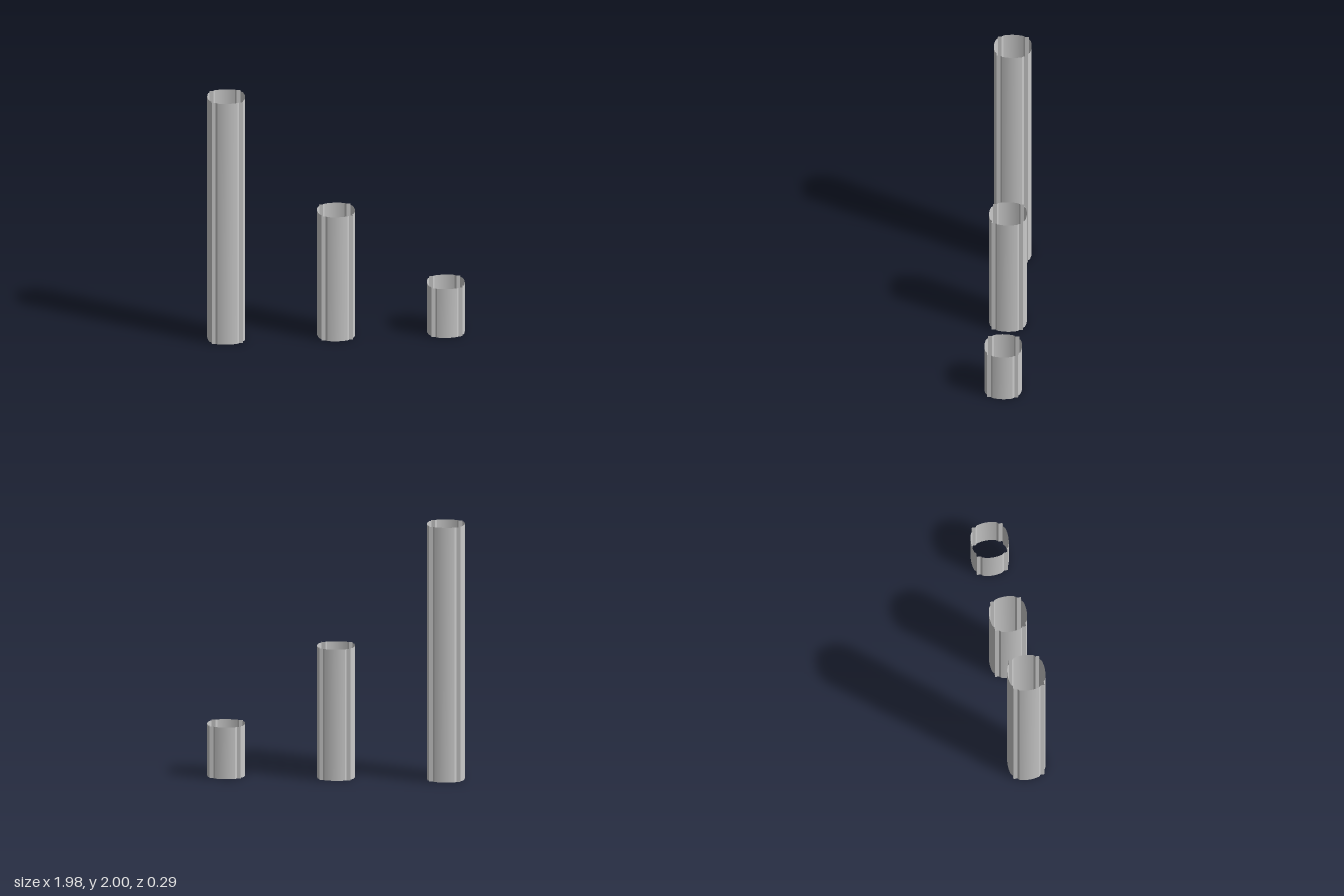
import * as THREE from 'three';
import { toCreasedNormals } from 'three/addons/utils/BufferGeometryUtils.js';

const CORNER = 0.12; // half width of the square corners
const BOW = 0.145;   // reach of the bowed sides

// One side of the section: square corner, small step, shallow bow, step, corner
function sidePoints() {
  const points = [[-CORNER, CORNER], [-0.09, CORNER]];
  for (let i = 0; i <= 12; i++) {
    const x = -0.077 + (0.154 * i) / 12;
    points.push([x, BOW - 0.012 * (x / 0.077) ** 2]);
  }
  points.push([0.09, CORNER]);
  return points;
}

// Four sides, each turned a quarter about the vertical axis
function sectionPoints() {
  const section = [];
  let side = sidePoints();
  for (let k = 0; k < 4; k++) {
    section.push(...side);
    side = side.map(([x, z]) => [z, -x]);
  }
  return section;
}

// Open tube: the section swept straight up, without caps
function tubeGeometry(height) {
  const section = sectionPoints();
  const n = section.length;
  const positions = [];
  const indices = [];
  section.forEach(([x, z], i) => {
    positions.push(x, 0, z, x, height, z);
    const a = 2 * i;
    const b = 2 * ((i + 1) % n);
    indices.push(a, b, b + 1, a, b + 1, a + 1);
  });
  const geometry = new THREE.BufferGeometry();
  geometry.setAttribute('position', new THREE.Float32BufferAttribute(positions, 3));
  geometry.setIndex(indices);
  return toCreasedNormals(geometry, 0.3);
}

export function createModel() {
  const group = new THREE.Group();
  const material = new THREE.MeshStandardMaterial({ color: 0xcccccc, side: THREE.DoubleSide });
  const columns = [
    ['tallColumn', -0.843, 2],
    ['middleColumn', 0, 1.03],
    ['shortColumn', 0.843, 0.405],
  ];
  for (const [name, x, height] of columns) {
    const column = new THREE.Mesh(tubeGeometry(height), material);
    column.name = name;
    column.position.x = x;
    group.add(column);
  }
  return group;
}
